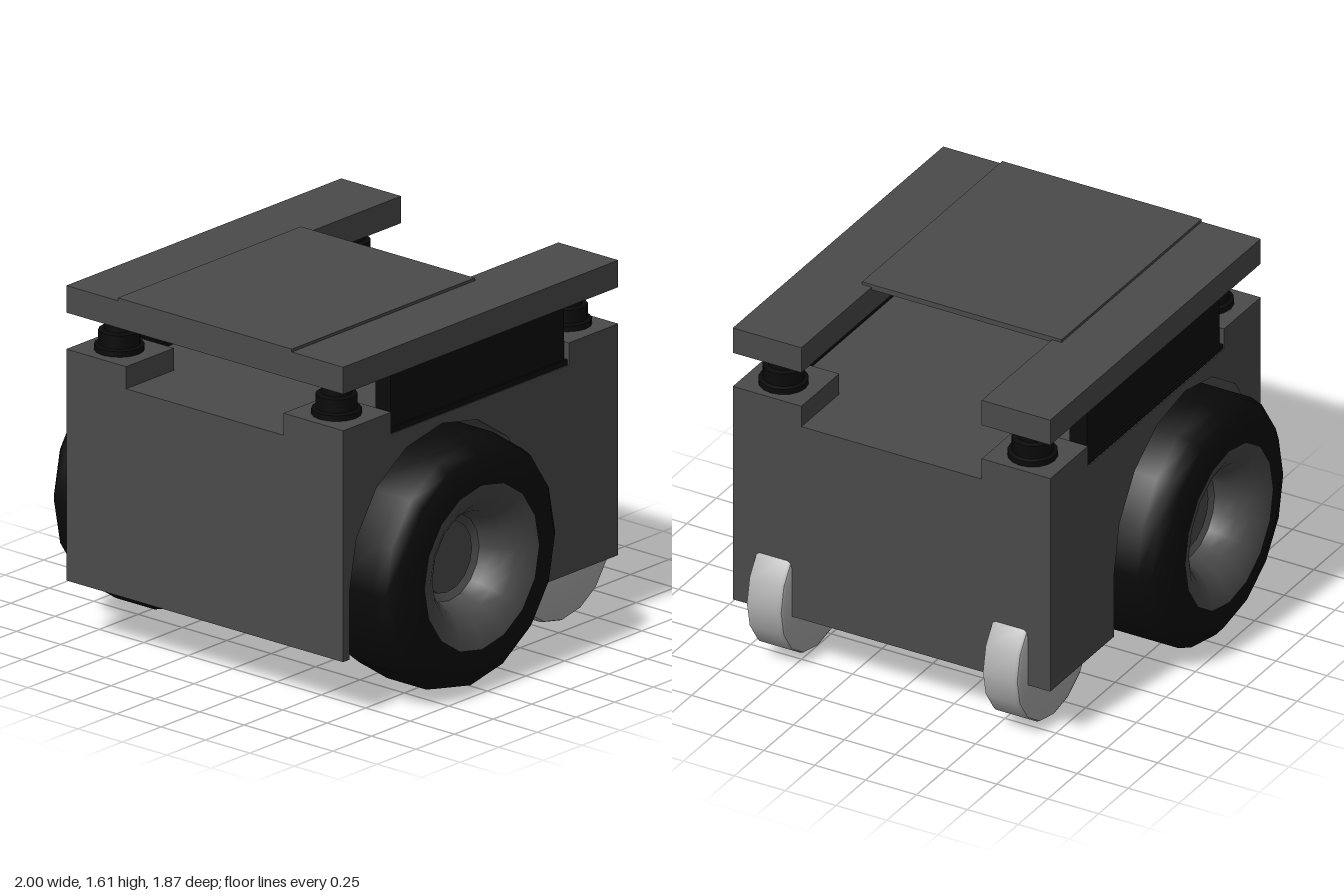
import * as THREE from 'three';
import { toCreasedNormals } from 'three/addons/utils/BufferGeometryUtils.js';

export function createModel() {
  const model = new THREE.Group();
  model.name = 'wheeledCart';
  const mat = (name, color) => Object.assign(new THREE.MeshStandardMaterial({ color }), { name });
  const grey = mat('dark grey', 0x4a4a4a);
  const black = mat('rubber black', 0x0a0a0a);
  const pale = mat('pale grey', 0xb0b0b0);

  const add = (name, geometry, material, parent = model) => {
    const mesh = new THREE.Mesh(geometry, material);
    mesh.name = name;
    parent.add(mesh);
    return mesh;
  };
  // Box given by its extents on each axis
  const box = (name, [x0, x1], [y0, y1], [z0, z1], material) =>
    add(name, new THREE.BoxGeometry(x1 - x0, y1 - y0, z1 - z0), material)
      .position.set((x0 + x1) / 2, (y0 + y1) / 2, (z0 + z1) / 2);
  const span = (s, a, b) => (s > 0 ? [a, b] : [-b, -a]);
  const lathe = (points, creased) => {
    const g = new THREE.LatheGeometry(points.map(([r, h]) => new THREE.Vector2(r, h)), 16);
    return creased ? toCreasedNormals(g, 0.6) : g;
  };

  // Body core and side sections with arched wheel wells
  const Z0 = -0.85, Z1 = 0.93, FLOOR = 0.265, TOP = 1.21;
  box('bodyCore', [-0.5, 0.5], [FLOOR, TOP], [Z0, Z1], grey);
  const side = new THREE.Shape();
  side.moveTo(Z0, FLOOR);
  side.lineTo(-0.31, FLOOR);
  for (let i = 0; i <= 8; i++) {
    const a = Math.PI * (1 - i / 8);
    side.lineTo(0.29 + 0.6 * Math.cos(a), 0.57 + 0.6 * Math.sin(a));
  }
  side.lineTo(0.89, FLOOR);
  side.lineTo(Z1, FLOOR);
  side.lineTo(Z1, TOP);
  side.lineTo(Z0, TOP);
  side.closePath();
  const sideGeometry = new THREE.ExtrudeGeometry(side, { depth: 0.28, bevelEnabled: false });
  sideGeometry.rotateY(-Math.PI / 2);

  // Drive wheel profiles, radius then height along the axle
  const tyre = lathe([
    [0, -0.235], [0.43, -0.235], [0.5, -0.21], [0.548, -0.17], [0.566, -0.11],
    [0.566, 0.11], [0.548, 0.17], [0.5, 0.21], [0.43, 0.235], [0.37, 0.235],
  ]);
  const rim = lathe([
    [0.37, 0.235], [0.32, 0.222], [0.27, 0.19], [0.23, 0.145], [0.205, 0.09], [0.195, 0.05],
  ]);
  const hub = lathe([[0.195, 0.05], [0.16, 0.03], [0.16, 0.04], [0, 0.04]], true);
  const caster = lathe([
    [0, -0.09], [0.297, -0.09], [0.31, -0.084], [0.316, -0.07],
    [0.316, 0.07], [0.31, 0.084], [0.297, 0.09], [0, 0.09],
  ], true);

  // Stepped rubber mount
  const mount = lathe([
    [0, 0], [0.108, 0], [0.108, 0.025], [0.09, 0.03], [0.09, 0.09],
    [0.066, 0.095], [0.066, 0.155], [0, 0.155],
  ], true);

  for (const s of [1, -1]) {
    const label = s > 0 ? 'left' : 'right';
    add(label + 'BodySide', sideGeometry, grey).position.x = s > 0 ? 0.78 : -0.5;

    const wheel = new THREE.Group();
    wheel.name = label + 'Wheel';
    add('tyre', tyre, black, wheel);
    add('rim', rim, grey, wheel);
    add('hub', hub, grey, wheel);
    wheel.rotation.z = -s * Math.PI / 2;
    wheel.position.set(s * 0.765, 0.57, 0.285);
    model.add(wheel);

    const rear = add(label + 'Caster', caster, pale);
    rear.rotation.z = -s * Math.PI / 2;
    rear.position.set(s * 0.58, 0.318, -0.62);

    // Corner pads with mounts
    for (const [end, z, range] of [['Front', 0.78, [0.62, Z1]], ['Rear', -0.71, [Z0, -0.53]]]) {
      box(label + end + 'Pad', span(s, 0.443, 0.78), [TOP, 1.31], range, grey);
      add(label + end + 'Mount', mount, black).position.set(s * 0.612, 1.31, z);
    }

    // Black side panel with its foot, and the rail above
    box(label + 'Panel', span(s, 0.68, 0.765), [TOP, 1.475], [-0.515, 0.607], black);
    box(label + 'PanelFoot', span(s, 0.66, 0.775), [TOP, 1.235], [-0.528, 0.618], black);
    box(label + 'Rail', span(s, 0.443, 0.78), [1.475, 1.597], [Z0, Z1], grey);
  }

  // Front cross bar and thin deck plate
  box('frontCrossBar', [-0.443, 0.443], [1.475, 1.597], [0.75, Z1], grey);
  box('deckPlate', [-0.49, 0.49], [1.585, 1.61], [-0.255, Z1], grey);

  return model;
}
